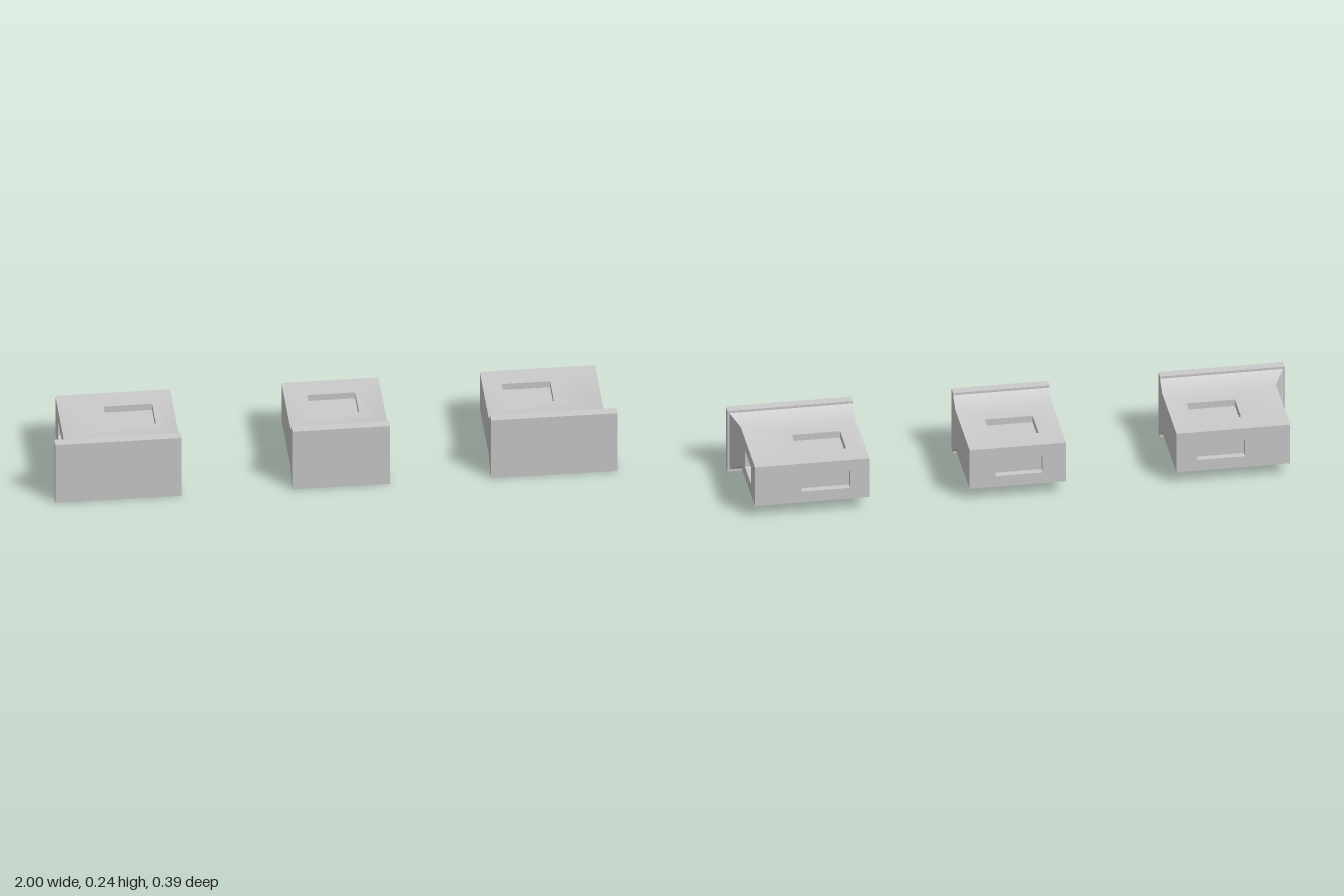
import * as THREE from 'three';
import { toCreasedNormals } from 'three/addons/utils/BufferGeometryUtils.js';

const material = new THREE.MeshStandardMaterial({ color: 0xcccccc });

// Shared levels: body height, body back, start of flare, front plate
const Y0 = 0.045, Y1 = 0.2, BACK = -0.193, FLARE = 0.11, PLATE = 0.158, FRONT = 0.193;
const TOP = 0.243, LIP = 0.009, DEPTH = 0.025;
const SLOT_Y = [0.088, 0.155], SLOT_Z = [-0.105, 0.024];

// Joins two four-point loops with a band of quads
function band(out, a, b) {
  for (let i = 0; i < 4; i++) {
    const j = (i + 1) % 4;
    out.push(a[i], a[j], b[j], a[i], b[j], b[i]);
  }
}

// Rectangular face, with an optional sunken rectangular pocket
function face(out, map, rect, hole) {
  const loop = ([s0, s1, t0, t1], d) =>
    [[s0, t0], [s1, t0], [s1, t1], [s0, t1]].map(([s, t]) => map(s, t, d));
  let last = loop(rect, 0);
  if (hole) {
    const rim = loop(hole, 0), floor = loop(hole, DEPTH);
    band(out, last, rim);
    band(out, rim, floor);
    last = floor;
  }
  out.push(last[0], last[1], last[2], last[0], last[2], last[3]);
}

// Body with pockets, flaring out toward the front plate
function bodyGeometry({ x0, x1, flareLeft, flareRight, pocket: [p0, p1] }) {
  const out = [];
  const [z0, z1] = SLOT_Z;
  face(out, (s, t, d) => [s, Y1 - d, -t], [x0, x1, -FLARE, -BACK], [p0, p1, -z1, -z0]);
  face(out, (s, t, d) => [s, Y0 + d, t], [x0, x1, BACK, FLARE], [p0, p1, z0, z1]);
  face(out, (s, t, d) => [-s, t, BACK + d], [-x1, -x0, Y0, Y1], [-p1, -p0, ...SLOT_Y]);
  face(out, (s, t, d) => [x1 - d, t, -s], [-FLARE, -BACK, Y0, Y1],
    flareLeft ? [-z1, -z0, ...SLOT_Y] : null);
  face(out, (s, t, d) => [x0 + d, t, s], [BACK, FLARE, Y0, Y1],
    flareRight ? [z0, z1, ...SLOT_Y] : null);

  const ring = (a, b, c, d, z) => [[a, c, z], [b, c, z], [b, d, z], [a, d, z]];
  band(out, ring(x0, x1, Y0, Y1, FLARE),
    ring(x0 - flareRight, x1 + flareLeft, LIP, TOP - LIP, PLATE));

  const geometry = new THREE.BufferGeometry();
  geometry.setAttribute('position', new THREE.Float32BufferAttribute(out.flat(), 3));
  return toCreasedNormals(geometry, 0.7);
}

function createBlock(name, spec) {
  const block = new THREE.Group();
  block.name = name;
  const body = new THREE.Mesh(bodyGeometry(spec), material);
  body.name = 'body';

  // Front plate overhangs the body at top, bottom and any flared end
  const left = spec.x1 + (spec.flareLeft ? 0.04 : 0);
  const right = spec.x0 - (spec.flareRight ? 0.04 : 0);
  const plate = new THREE.Mesh(
    new THREE.BoxGeometry(left - right, TOP, FRONT - PLATE), material);
  plate.position.set((left + right) / 2, TOP / 2, (FRONT + PLATE) / 2);
  plate.name = 'frontPlate';
  block.add(body, plate);
  return block;
}

export function createModel() {
  const model = new THREE.Group();
  model.name = 'trimBlocks';
  model.add(
    createBlock('rightEndBlock',
      { x0: -0.96, x1: -0.552, flareLeft: 0, flareRight: 0.033, pocket: [-0.798, -0.625] }),
    createBlock('middleBlock',
      { x0: -0.156, x1: 0.19, flareLeft: 0, flareRight: 0, pocket: [-0.072, 0.098] }),
    createBlock('leftEndBlock',
      { x0: 0.55, x1: 0.96, flareLeft: 0.033, flareRight: 0, pocket: [0.619, 0.791] }),
  );
  return model;
}
